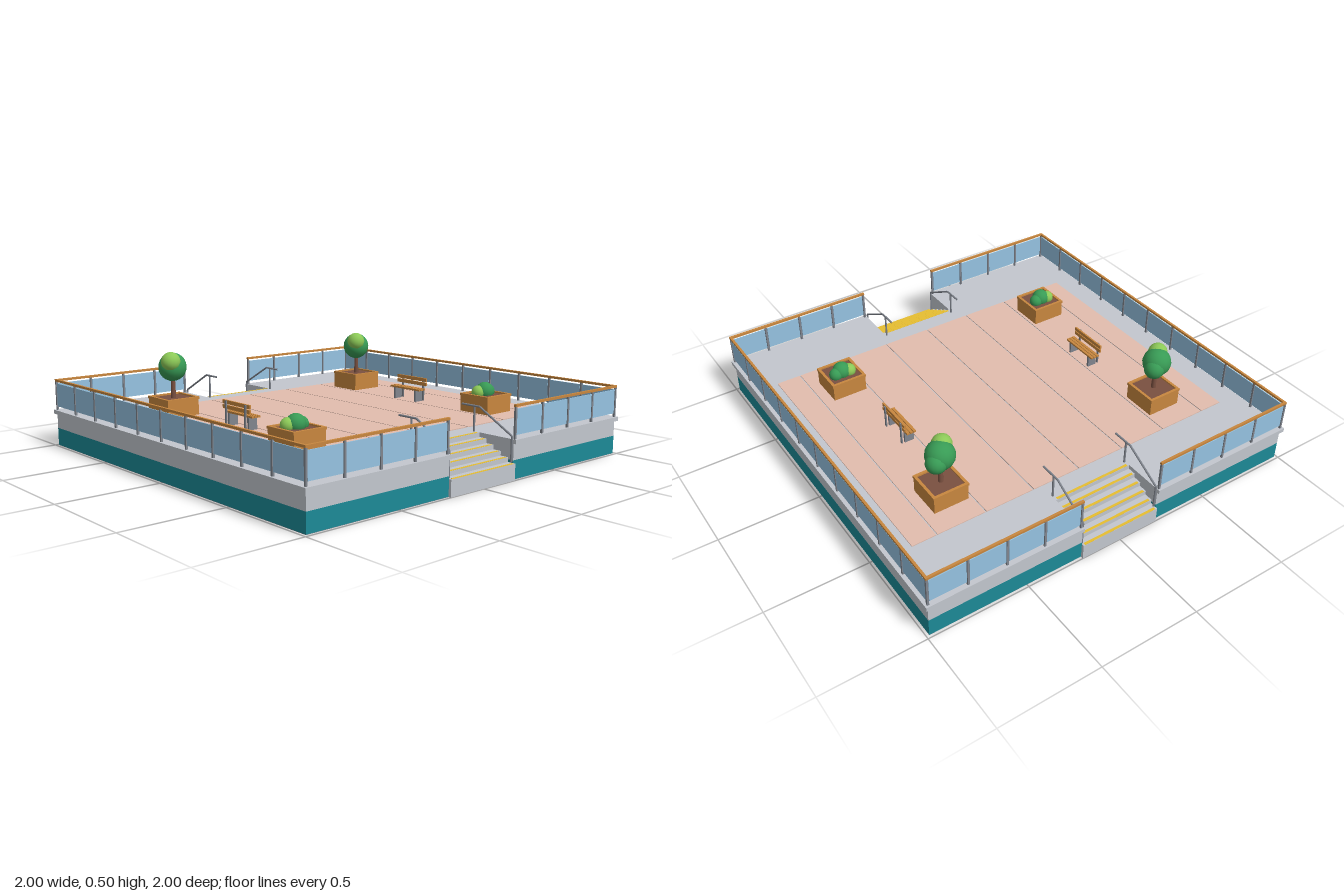
import * as THREE from 'three';

const mat = (name, color) => {
  const m = new THREE.MeshStandardMaterial({ color });
  m.name = name;
  return m;
};

export function createModel() {
  const concrete = mat('concrete', 0xc3c7ce);
  const teal = mat('teal', 0x1c8a97);
  const paving = mat('paving', 0xe2bdae);
  const metal = mat('steel', 0x80858e);
  const glass = mat('glass', 0x96c3e1);
  const wood = mat('wood', 0xc8873f);
  const soil = mat('soil', 0x7a5040);
  const leaf = mat('leaf', 0x389b55);
  const lightLeaf = mat('light leaf', 0x8cc957);
  const yellow = mat('yellow', 0xecc232);

  const model = new THREE.Group();
  model.name = 'raisedPlaza';

  const add = (parent, name, geo, material, x = 0, y = 0, z = 0) => {
    const m = new THREE.Mesh(geo, material);
    m.name = name;
    m.position.set(x, y, z);
    parent.add(m);
    return m;
  };
  const box = (parent, name, material, w, h, d, x, y, z) =>
    add(parent, name, new THREE.BoxGeometry(w, h, d), material, x, y, z);
  const group = (name, x = 0, y = 0, z = 0, parent = model) => {
    const g = new THREE.Group();
    g.name = name;
    g.position.set(x, y, z);
    parent.add(g);
    return g;
  };

  // Square slab with a stair notch at the front and back
  const N = 0.21, NZ = 0.79, TOP = 0.185;
  const slab = (name, material, h, y0, y1) => {
    const pts = [[-h, -h], [-N, -h], [-N, -NZ], [N, -NZ], [N, -h], [h, -h],
      [h, h], [N, h], [N, NZ], [-N, NZ], [-N, h], [-h, h]];
    const shape = new THREE.Shape(pts.map(p => new THREE.Vector2(...p)));
    const geo = new THREE.ExtrudeGeometry(shape, { depth: y1 - y0, bevelEnabled: false });
    geo.rotateX(-Math.PI / 2);
    add(model, name, geo, material, 0, y0, 0);
  };
  slab('underside', metal, 0.986, 0, 0.002);
  slab('plinth', teal, 0.987, 0.002, 0.09);
  slab('wall', concrete, 0.987, 0.09, 0.165);
  slab('coping', concrete, 1, 0.165, TOP);

  // Paving strips separated by narrow joints
  const joints = [-0.88, -0.757, -0.507, -0.253, 0, 0.253, 0.507, 0.757, 0.88];
  for (let i = 0; i < 8; i++) {
    const a = joints[i] + (i ? 0.003 : 0), b = joints[i + 1] - (i < 7 ? 0.003 : 0);
    box(model, 'pavingStrip', paving, b - a, 0.004, 1.36, (a + b) / 2, TOP + 0.002, 0);
  }

  // Stairs with yellow nosings and handrails, front and back
  for (const s of [1, -1]) {
    const stairs = group(s > 0 ? 'frontStairs' : 'backStairs');
    stairs.rotation.y = s > 0 ? 0 : Math.PI;
    const tread = 0.042, rise = 0.0214;
    for (let i = 0; i <= 5; i++) {
      const h = TOP - rise * i, edge = NZ + tread * i;
      if (i) box(stairs, 'step', concrete, 2 * N, h, tread, 0, h / 2, edge - tread / 2);
      box(stairs, 'nosing', yellow, 0.4, 0.001, 0.013, 0, h + 0.0005, edge - 0.0075);
    }
    for (const x of [-0.205, 0.205]) {
      const path = new THREE.CurvePath();
      const pts = [[0.305, 0.685], [0.305, 0.79], [0.2, 0.98], [0.08, 0.98]]
        .map(([y, z]) => new THREE.Vector3(x, y, z));
      for (let i = 0; i < 3; i++) path.add(new THREE.LineCurve3(pts[i], pts[i + 1]));
      add(stairs, 'handrail', new THREE.TubeGeometry(path, 80, 0.005, 8), metal);
      add(stairs, 'handrailPost', new THREE.CylinderGeometry(0.005, 0.005, 0.12, 8), metal, x, 0.245, 0.76);
    }
  }

  // Glass balustrade runs along local x from a to b
  const fence = (name, a, b, panels, z, turn) => {
    const g = group(name);
    g.rotation.y = turn;
    const step = (b - a) / panels;
    for (let i = 0; i <= panels; i++) {
      box(g, 'fencePost', metal, 0.01, 0.147, 0.01, a + i * step, TOP + 0.0735, z);
      if (i < panels) box(g, 'glassPanel', glass, step - 0.015, 0.118, 0.005, a + (i + 0.5) * step, 0.262, z);
    }
    box(g, 'topRail', wood, b - a + 0.012, 0.011, 0.012, (a + b) / 2, 0.336, z);
  };
  const E = 0.985;
  for (const turn of [0, Math.PI]) {
    fence('stairSideFence', -E, -0.22, 4, E, turn);
    fence('stairSideFence', 0.22, E, 4, E, turn);
    fence('sideFence', -E, E, 10, E, turn + Math.PI / 2);
  }

  // Planters with trees at the back and shrubs at the front
  const ball = (g, r, x, y, z, material) =>
    add(g, 'foliage', new THREE.SphereGeometry(r, 16, 12), material, x, y, z);
  for (const x of [-0.613, 0.613]) for (const z of [-0.48, 0.48]) {
    const g = group('planter', x, TOP + 0.004, z);
    for (let i = 0; i < 4; i++) {
      const side = group('planterSide', 0, 0, 0, g);
      side.rotation.y = i * Math.PI / 2;
      box(side, 'planterBoard', wood, 0.176, 0.08, 0.01, 0, 0.04, 0.083);
      box(side, 'planterRim', wood, 0.182, 0.012, 0.014, 0, 0.084, 0.084);
    }
    box(g, 'soil', soil, 0.158, 0.075, 0.158, 0, 0.045, 0);
    if (z < 0) {
      add(g, 'trunk', new THREE.CylinderGeometry(0.009, 0.013, 0.13, 10), soil, 0, 0.136, 0);
      ball(g, 0.07, 0, 0.236, -0.003, leaf);
      ball(g, 0.05, 0.034, 0.222, -0.026, leaf);
      ball(g, 0.048, -0.026, 0.266, 0.024, lightLeaf);
    } else {
      ball(g, 0.045, 0, 0.101, -0.006, leaf);
      ball(g, 0.034, -0.036, 0.097, -0.017, lightLeaf);
      ball(g, 0.034, 0.036, 0.095, -0.015, leaf);
    }
  }

  // Benches facing the middle, backs towards the sides
  for (const s of [1, -1]) {
    const g = group('bench', s * 0.552, TOP + 0.004, 0);
    g.rotation.y = s > 0 ? 0 : Math.PI;
    for (let i = 0; i < 3; i++)
      box(g, 'seatSlat', wood, 0.0145, 0.009, 0.21, -0.024 + i * 0.017, 0.064, 0);
    for (const y of [0.09, 0.113])
      box(g, 'backSlat', wood, 0.009, 0.018, 0.21, 0.026, y, 0);
    for (const z of [-0.075, 0.075]) {
      box(g, 'benchLeg', metal, 0.048, 0.06, 0.012, -0.006, 0.03, z);
      box(g, 'backSupport', metal, 0.006, 0.12, 0.012, 0.033, 0.06, z);
    }
  }
  return model;
}
